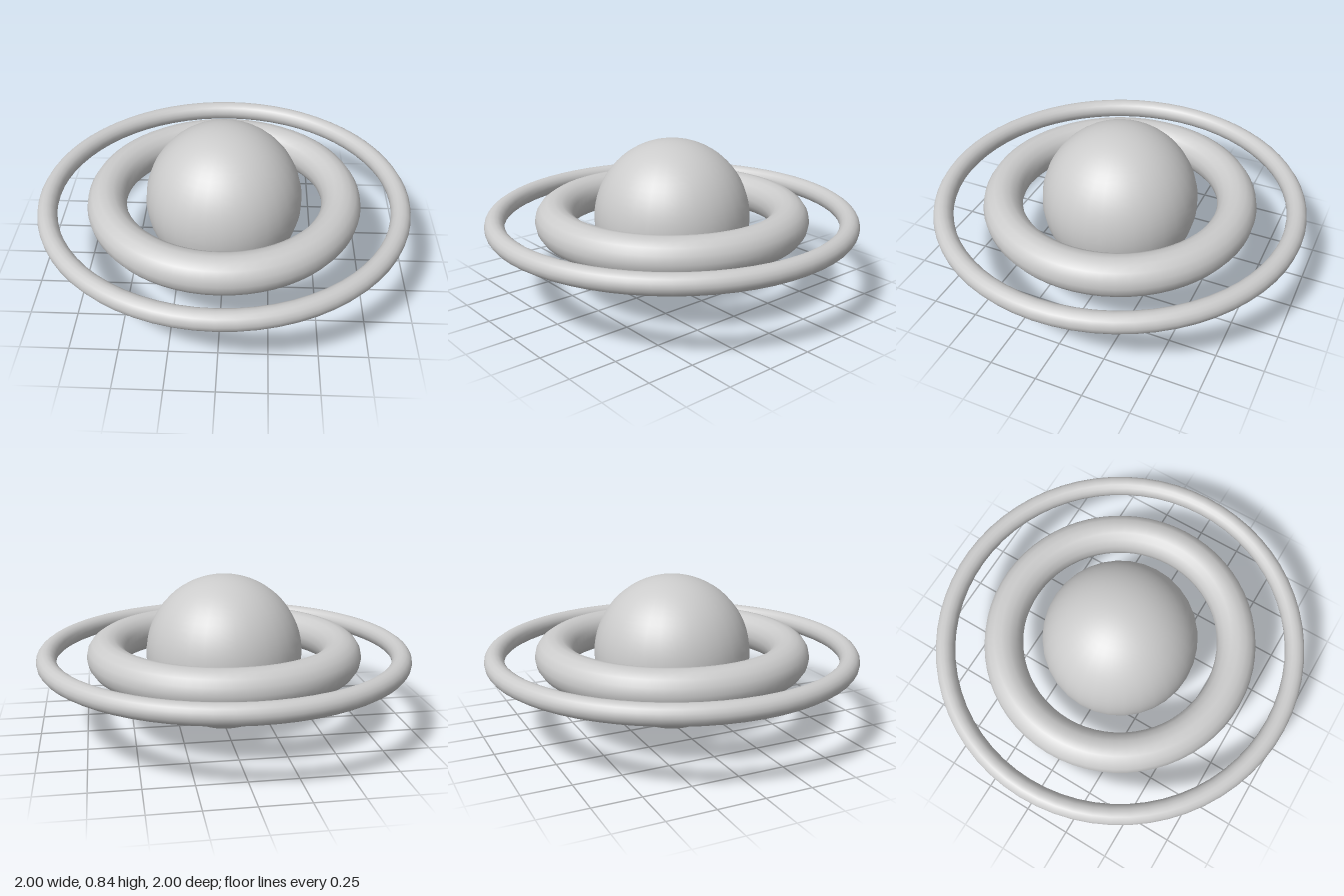
import * as THREE from 'three';

const UNIT = 1 / 1.9; // scales the outermost ring to a radius of 1
const CENTRE_Y = 0.8 * UNIT; // the globe rests on the ground

export function createModel() {
  const group = new THREE.Group();
  group.name = 'ringedPlanet';
  const material = new THREE.MeshStandardMaterial({ color: 0xcccccc });

  function add(name, geometry) {
    const mesh = new THREE.Mesh(geometry, material);
    mesh.name = name;
    mesh.position.y = CENTRE_Y;
    group.add(mesh);
  }

  // Flat-lying round ring
  function ring(radius, tube) {
    return new THREE.TorusGeometry(radius * UNIT, tube * UNIT, 16, 64).rotateX(Math.PI / 2);
  }

  // Globe and its two concentric rings
  add('planet', new THREE.SphereGeometry(0.8 * UNIT, 32, 32));
  add('innerRing', ring(1.2, 0.2));
  add('outerRing', ring(1.8, 0.1));

  return group;
}
